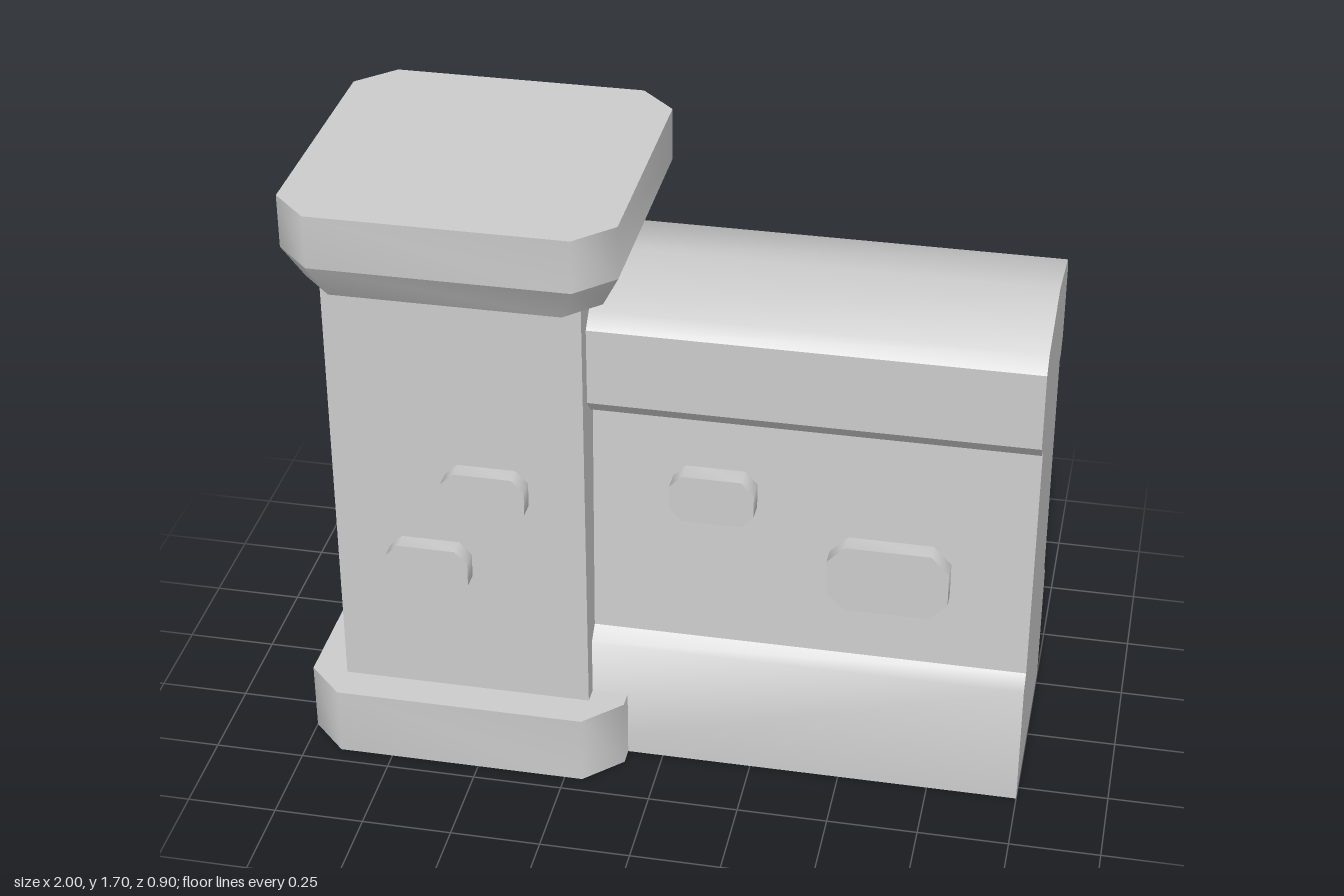
import * as THREE from 'three';
import { toCreasedNormals } from 'three/addons/utils/BufferGeometryUtils.js';

const material = new THREE.MeshStandardMaterial({ color: 0xcccccc });
const CREASE = 0.8; // keeps 45 degree corners soft, square edges sharp

function add(parent, name, geometry, x = 0, y = 0, z = 0) {
  const mesh = new THREE.Mesh(geometry, material);
  mesh.name = name;
  mesh.position.set(x, y, z);
  parent.add(mesh);
  return mesh;
}

// Rectangle with cut corners, extruded along +z
function chamferedBlock(w, h, cut, depth) {
  const a = w / 2, b = h / 2;
  const shape = new THREE.Shape([
    [a, -b + cut], [a, b - cut], [a - cut, b], [-a + cut, b],
    [-a, b - cut], [-a, -b + cut], [-a + cut, -b], [a - cut, -b],
  ].map(([x, y]) => new THREE.Vector2(x, y)));
  return new THREE.ExtrudeGeometry(shape, { depth, bevelEnabled: false });
}

// Upright slab with cut corners; the bottom may be narrower than the top
function slab(size, cut, height, bottomScale = 1) {
  const geo = chamferedBlock(size, size, cut, height).rotateX(-Math.PI / 2);
  const p = geo.attributes.position;
  for (let i = 0; i < p.count; i++) {
    if (p.getY(i) < height / 2) {
      p.setX(i, p.getX(i) * bottomScale);
      p.setZ(i, p.getZ(i) * bottomScale);
    }
  }
  return toCreasedNormals(geo, CREASE);
}

// Smooth sheet swept along x through [z, y] points
function sweep(points, x0, x1) {
  const pos = [], index = [];
  points.forEach(([z, y], i) => {
    pos.push(x0, y, z, x1, y, z);
    if (i) {
      const a = 2 * i - 2;
      index.push(a, a + 1, a + 3, a, a + 3, a + 2);
    }
  });
  const geo = new THREE.BufferGeometry();
  geo.setAttribute('position', new THREE.Float32BufferAttribute(pos, 3));
  geo.setIndex(index);
  return toCreasedNormals(geo, Math.PI);
}

function createWall() {
  const wall = new THREE.Group();
  wall.name = 'wall';
  const x0 = -0.3, x1 = 1;
  // Front half of the cross-section, one run per smooth surface
  const runs = {
    wallBase: [[0.3, 0], [0.3, 0.365], [0.26, 0.4]],
    wallPanel: [[0.26, 0.4], [0.235, 1.1]],
    copingUnderside: [[0.235, 1.1], [0.265, 1.1]],
    copingLowerBevel: [[0.265, 1.1], [0.3, 1.14]],
    copingBand: [[0.3, 1.14], [0.3, 1.36]],
  };
  const mirror = (pts) => pts.map(([z, y]) => [-z, y]).reverse();
  for (const [name, pts] of Object.entries(runs)) {
    add(wall, name + 'Front', sweep(pts, x0, x1));
    add(wall, name + 'Back', sweep(mirror(pts), x0, x1));
  }
  const top = [[0.3, 1.36], [0.26, 1.4], [0, 1.45], [-0.26, 1.4], [-0.3, 1.36]];
  add(wall, 'copingTop', sweep(top, x0, x1));
  add(wall, 'wallUnderside', sweep([[-0.3, 0], [0.3, 0]], x0, x1));

  // Flat end faces
  const front = Object.values(runs).flat();
  const outline = [...front, ...top.slice(1, -1), ...mirror(front)]
    .filter((p, i, all) => !i || p[0] !== all[i - 1][0] || p[1] !== all[i - 1][1])
    .map(([z, y]) => new THREE.Vector2(z, y));
  const end = new THREE.ShapeGeometry(new THREE.Shape(outline));
  add(wall, 'wallOuterEnd', end.clone().rotateY(Math.PI / 2), x1);
  add(wall, 'wallInnerEnd', end.clone().rotateY(-Math.PI / 2), x0);
  return wall;
}

function createPillar() {
  const pillar = new THREE.Group();
  pillar.name = 'pillar';
  pillar.position.x = -0.55;
  add(pillar, 'plinth', slab(0.9, 0.1, 0.2));
  add(pillar, 'shaft', new THREE.BoxGeometry(0.7, 1.45, 0.7), 0, 0.725);
  add(pillar, 'capTaper', slab(0.9, 0.1, 0.1, 0.4 / 0.45), 0, 1.45);
  add(pillar, 'cap', slab(0.9, 0.1, 0.15), 0, 1.55);
  return pillar;
}

// Raised stones: position of the outer face, turn about y, size
function createBricks() {
  const bricks = new THREE.Group();
  bricks.name = 'raisedBricks';
  const list = [
    ['pillarFrontUpper', -0.47, 0.865, 0.4, 0],
    ['pillarFrontLower', -0.635, 0.615, 0.4, 0],
    ['pillarSide', -0.95, 1.12, -0.07, -Math.PI / 2],
    ['pillarBack', -0.43, 0.505, -0.4, Math.PI],
    ['wallFrontSmall', 0.135, 0.87, 0.3, 0],
    ['wallFrontLarge', 0.615, 0.67, 0.3, 0, 0.33, 0.2, 0.05],
    ['wallBackUpper', 0.69, 0.85, -0.29, Math.PI],
    ['wallBackLower', 0.34, 0.66, -0.3, Math.PI],
  ];
  for (const [name, x, y, z, turn, w = 0.23, h = 0.14, cut = 0.035] of list) {
    const geo = chamferedBlock(w, h, cut, 0.08).translate(0, 0, -0.08);
    add(bricks, name + 'Brick', toCreasedNormals(geo, CREASE), x, y, z).rotation.y = turn;
  }
  return bricks;
}

export function createModel() {
  const model = new THREE.Group();
  model.name = 'wallWithPillar';
  model.add(createPillar(), createWall(), createBricks());
  return model;
}
